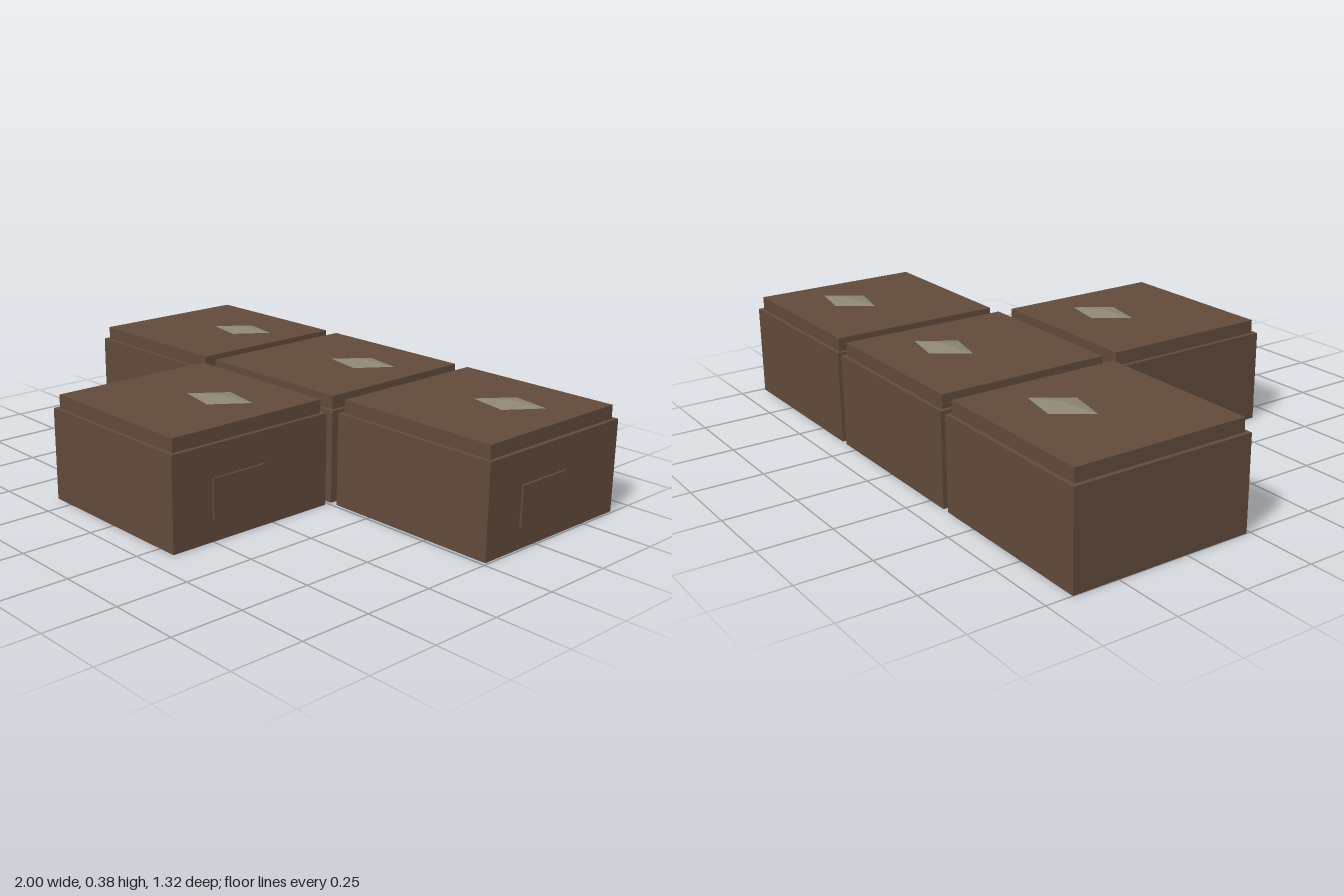
import * as THREE from 'three';

const SIZE = 0.646;   // footprint of one block
const PITCH = 0.673;  // spacing between blocks
const BASE_H = 0.325;
const TOP = 0.372;

// Flattened four-sided stone: a skewed ring of corners between two apexes
function stoneGeometry() {
  const ring = [[-0.028, -0.073], [-0.115, 0.045], [0.03, 0.076], [0.115, -0.046]];
  const points = [];
  ring.forEach(([x, z], i) => {
    const [nx, nz] = ring[(i + 1) % 4];
    points.push(x, 0, z, nx, 0, nz, 0, 0.013, 0);
    points.push(nx, 0, nz, x, 0, z, 0, -0.013, 0);
  });
  const geometry = new THREE.BufferGeometry();
  geometry.setAttribute('position', new THREE.Float32BufferAttribute(points, 3));
  geometry.computeVertexNormals();
  return geometry;
}

export function createModel() {
  const brown = new THREE.MeshStandardMaterial({ color: 0x614a3a });
  brown.name = 'brown';
  const stoneGrey = new THREE.MeshStandardMaterial({ color: 0x8c8673 });
  stoneGrey.name = 'stoneGrey';

  const baseGeo = new THREE.BoxGeometry(SIZE, BASE_H, SIZE);
  const lidGeo = new THREE.BoxGeometry(SIZE - 0.03, TOP - BASE_H, SIZE - 0.03);
  const panelGeo = new THREE.BoxGeometry(0.016, 0.139, 0.213);
  const stoneGeo = stoneGeometry();

  function add(parent, name, geometry, material, x, y, z) {
    const mesh = new THREE.Mesh(geometry, material);
    mesh.name = name;
    mesh.position.set(x, y, z);
    parent.add(mesh);
  }

  // Base, inset lid, side panel and stone
  function createBlock(x, z) {
    const block = new THREE.Group();
    block.name = 'block';
    block.position.set(x, 0, z);
    add(block, 'base', baseGeo, brown, 0, BASE_H / 2, 0);
    add(block, 'lid', lidGeo, brown, 0, (BASE_H + TOP) / 2, 0);
    add(block, 'sidePanel', panelGeo, brown, SIZE / 2, 0.1455, 0.06);
    add(block, 'stone', stoneGeo, stoneGrey, 0.076, TOP, -0.067);
    return block;
  }

  // T-shaped layout: three blocks behind, one in front of the middle
  const model = new THREE.Group();
  model.name = 'blockCluster';
  for (const [column, row] of [[-1, -0.5], [0, -0.5], [1, -0.5], [0, 0.5]]) {
    model.add(createBlock(column * PITCH - 0.004, row * PITCH));
  }
  return model;
}
